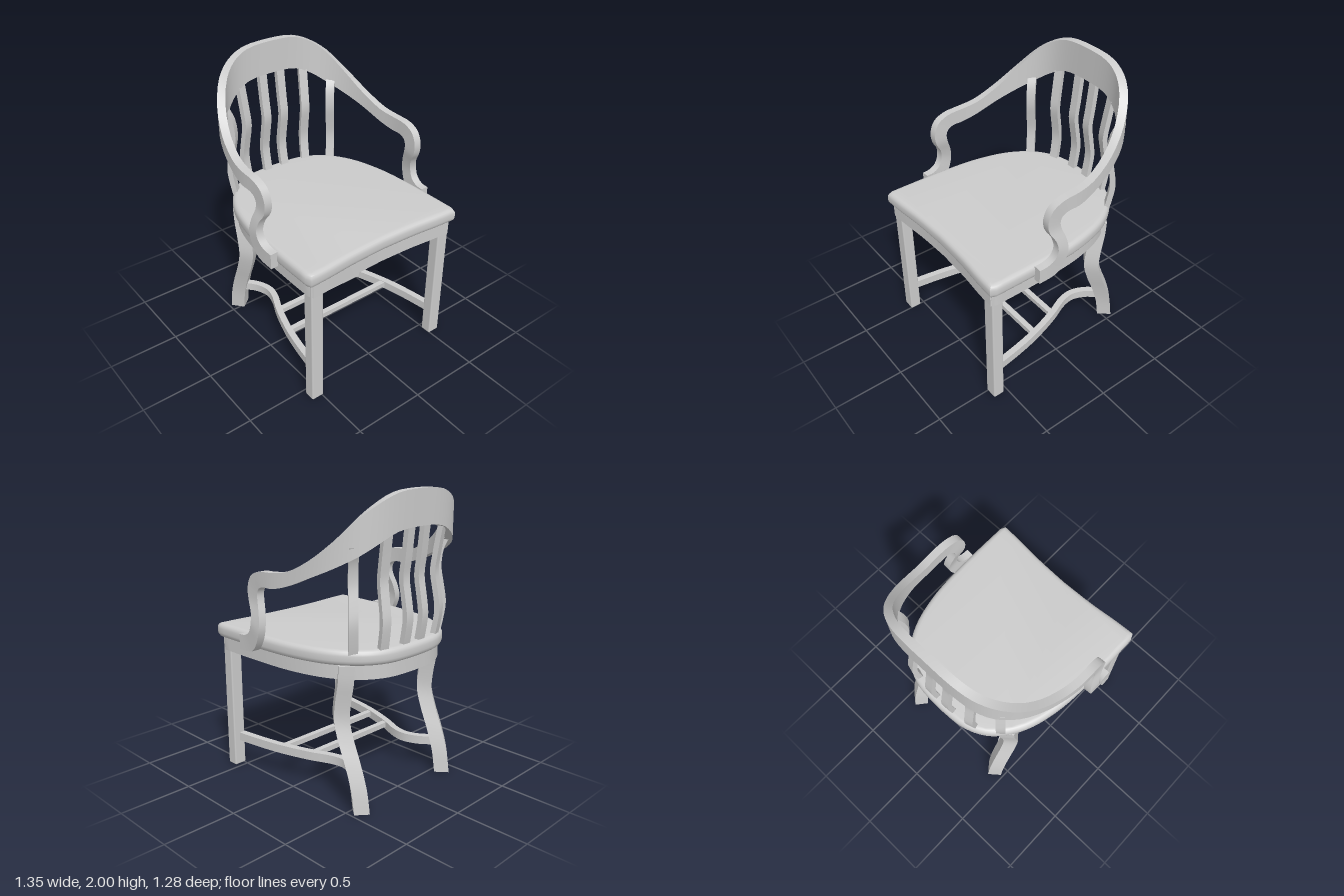
import * as THREE from 'three';
import { toCreasedNormals } from 'three/addons/utils/BufferGeometryUtils.js';
import { RoundedBoxGeometry } from 'three/addons/geometries/RoundedBoxGeometry.js';

const V = (x, y, z) => new THREE.Vector3(x, y, z);
const material = new THREE.MeshStandardMaterial({ color: 0xcccccc });

// Closed solid through four-cornered rings; winding is set so faces point outward.
function loft(rings, crease = 0.7) {
  const tris = [];
  const quad = (a, b, c, d) => tris.push([a, b, c], [a, c, d]);
  for (let i = 0; i < rings.length - 1; i++) {
    for (let k = 0; k < 4; k++) {
      const n = (k + 1) % 4;
      quad(rings[i][k], rings[i][n], rings[i + 1][n], rings[i + 1][k]);
    }
  }
  const last = rings[rings.length - 1];
  quad(rings[0][3], rings[0][2], rings[0][1], rings[0][0]);
  quad(last[0], last[1], last[2], last[3]);
  let volume = 0;
  for (const [a, b, c] of tris) volume += a.dot(b.clone().cross(c));
  const points = tris.flatMap(([a, b, c]) => (volume < 0 ? [a, c, b] : [a, b, c]));
  return toCreasedNormals(new THREE.BufferGeometry().setFromPoints(points), crease);
}

// Upright curved member: level rectangular sections turned by an angle.
function upright(points, angle, w, d, steps) {
  const out = V(Math.sin(angle), 0, -Math.cos(angle)).multiplyScalar(d / 2);
  const side = V(Math.cos(angle), 0, Math.sin(angle)).multiplyScalar(w / 2);
  return loft(new THREE.CatmullRomCurve3(points).getPoints(steps).map((p) => [
    p.clone().add(out).add(side), p.clone().add(out).sub(side),
    p.clone().sub(out).sub(side), p.clone().sub(out).add(side)]));
}

// Level curved rail: upright rectangular sections across the path.
function rail(points, w, h, steps) {
  const curve = new THREE.CatmullRomCurve3(points);
  return loft(curve.getPoints(steps).map((p, i) => {
    const t = curve.getTangent(i / steps);
    const n = V(t.z, 0, -t.x).normalize().multiplyScalar(w / 2);
    const up = V(0, h / 2, 0);
    return [p.clone().add(n).add(up), p.clone().add(n).sub(up),
      p.clone().sub(n).sub(up), p.clone().sub(n).add(up)];
  }));
}

// Half of the seat plan (x, z), from the back centre round to the front corner.
const sidePlan = [[0, -0.64], [0.2, -0.625], [0.35, -0.56], [0.46, -0.45], [0.54, -0.3],
  [0.59, -0.1], [0.61, 0.1], [0.617, 0.35], [0.617, 0.6]];
const frontPlan = [[0.6, 0.64], [0.45, 0.632], [0.25, 0.614], [0, 0.605]];

function seatPlan(sx, sz) {
  const smooth = (pts, n) => new THREE.SplineCurve(
    pts.map(([x, z]) => new THREE.Vector2(x * sx, -z * sz))).getPoints(n);
  const half = [...smooth(sidePlan, 28), ...smooth(frontPlan, 8)];
  const other = half.slice(1, -1).reverse().map((p) => new THREE.Vector2(-p.x, p.y));
  return [...half, ...other];
}

function slab(shape, y, height, bevel) {
  const geometry = new THREE.ExtrudeGeometry(shape, {
    depth: height - 2 * bevel, bevelEnabled: bevel > 0, bevelSize: bevel,
    bevelThickness: bevel, bevelOffset: -bevel, bevelSegments: 4,
  });
  geometry.rotateX(-Math.PI / 2).translate(0, y + bevel, 0);
  return toCreasedNormals(geometry, 0.7);
}

// Back rest and arms in one bent band: x, top z, top y, bottom z, bottom y, facing angle.
const bandHalf = [
  [0, -0.617, 2.0, -0.617, 1.775, 0],
  [0.2, -0.612, 1.985, -0.612, 1.76, 6],
  [0.32, -0.587, 1.935, -0.587, 1.705, 20],
  [0.42, -0.53, 1.855, -0.53, 1.635, 38],
  [0.51, -0.42, 1.72, -0.42, 1.56, 56],
  [0.57, -0.28, 1.595, -0.28, 1.49, 72],
  [0.605, -0.12, 1.51, -0.12, 1.42, 82],
  [0.62, 0, 1.49, 0, 1.39, 88],
  [0.62, 0.12, 1.48, 0.08, 1.388, 92],
  [0.617, 0.2, 1.44, 0.122, 1.37, 93],
  [0.615, 0.235, 1.36, 0.14, 1.335, 93],
  [0.617, 0.225, 1.28, 0.135, 1.285, 93],
  [0.635, 0.185, 1.21, 0.105, 1.2, 93],
  [0.648, 0.175, 1.14, 0.095, 1.11, 93],
  [0.645, 0.2, 1.08, 0.125, 1.02, 93],
  [0.64, 0.25, 1.05, 0.18, 0.955, 93],
  [0.637, 0.31, 1.045, 0.31, 0.94, 93],
];

function armBand() {
  const mirrored = bandHalf.slice(1).reverse().map(([x, a, b, c, d, e]) => [-x, a, b, c, d, -e]);
  const rows = [...mirrored, ...bandHalf];
  const top = new THREE.CatmullRomCurve3(rows.map((r) => V(r[0], r[2], r[1])));
  const bottom = new THREE.CatmullRomCurve3(rows.map((r) => V(r[0], r[4], r[3])));
  const turn = new THREE.CatmullRomCurve3(rows.map((r, i) => V(r[5], i, 0)));
  const rings = [];
  const steps = (rows.length - 1) * 3;
  for (let i = 0; i <= steps; i++) {
    const a = THREE.MathUtils.degToRad(turn.getPoint(i / steps).x);
    const n = V(Math.sin(a), 0, -Math.cos(a)).multiplyScalar(0.027);
    const t = top.getPoint(i / steps), b = bottom.getPoint(i / steps);
    rings.push([t.clone().add(n), b.clone().add(n), b.clone().sub(n), t.clone().sub(n)]);
  }
  return loft(rings);
}

export function createModel() {
  const model = new THREE.Group();
  const add = (name, geometry) => {
    const mesh = new THREE.Mesh(geometry, material);
    mesh.name = name;
    model.add(mesh);
    return mesh;
  };

  // Seat with a rounded edge, and the hollow apron below it
  add('seat', slab(new THREE.Shape(seatPlan(1, 1)), 0.95, 0.1, 0.035));
  const apron = new THREE.Shape(seatPlan(0.95, 0.965));
  apron.holes.push(new THREE.Path(seatPlan(0.84, 0.86)));
  add('apron', slab(apron, 0.86, 0.1, 0));

  add('backRestAndArms', armBand());

  // Slats: base x, base z, facing angle, top y, outward lean at the top
  const slats = [[0.072, -0.592, 0.03, 1.8, 0.024], [0.25, -0.572, 0.28, 1.765, 0.03],
    [0.415, -0.478, 0.72, 1.68, 0.05]];

  for (const s of [1, -1]) {
    const side = s > 0 ? 'left' : 'right';

    slats.forEach(([x, z, angle, topY, lean], i) => {
      const bend = [[1.0, -0.01], [1.1, 0.01], [1.22, 0.024], [1.34, 0.006],
        [1.46, -0.014], [1.58, 0], [topY, lean]];
      const path = bend.map(([y, o]) => V(s * (x + o * Math.sin(angle)), y, z - o * Math.cos(angle)));
      add(`${side}Slat${i + 1}`, upright(path, s * angle, 0.06, 0.036, 18));
    });

    // Legs: straight square front, swept rear turned to the corner
    add(`${side}FrontLeg`, new RoundedBoxGeometry(0.09, 0.95, 0.08, 2, 0.01))
      .position.set(s * 0.535, 0.475, 0.57);
    const sweep = [[0.95, -0.415], [0.84, -0.408], [0.7, -0.382], [0.58, -0.374],
      [0.45, -0.412], [0.3, -0.475], [0.15, -0.525], [0, -0.55]];
    add(`${side}RearLeg`, upright(sweep.map(([y, z]) => V(s * 0.412, y, z)), s * 0.69, 0.1, 0.102, 20));

    // Side stretcher, curving inward before meeting the rear leg
    const plan = [[0.515, 0.55], [0.485, 0.35], [0.445, 0.16], [0.375, -0.06], [0.315, -0.2],
      [0.3, -0.3], [0.335, -0.4], [0.39, -0.47]];
    add(`${side}Stretcher`, rail(plan.map(([x, z]) => V(s * x, 0.21, z)), 0.045, 0.06, 20));
  }

  // Two cross bars between the side stretchers
  for (const [name, width, z] of [['frontCrossBar', 0.87, 0.16], ['rearCrossBar', 0.74, -0.06]]) {
    add(name, new THREE.BoxGeometry(width, 0.036, 0.04)).position.set(0, 0.217, z);
  }
  return model;
}
